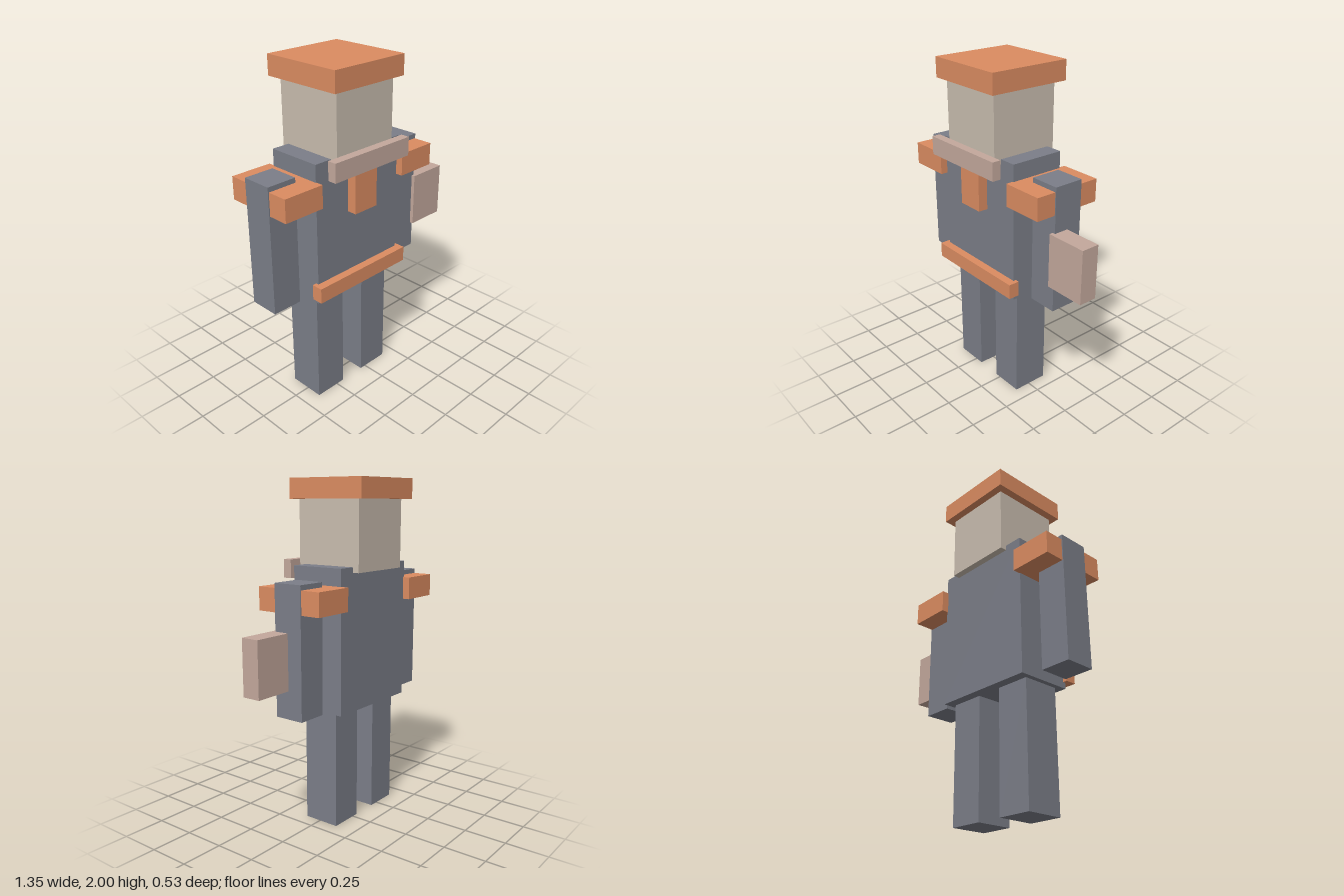
import * as THREE from 'three';

const material = (color) => new THREE.MeshStandardMaterial({ color });

export function createModel() {
  const model = new THREE.Group();
  const slate = material(0x7b7e88);
  const orange = material(0xdb8c61);
  const skin = material(0xc9bdaf);
  const rose = material(0xc3a89c);

  // Axis-aligned block given by its [min, max] along each axis
  function block(name, mat, [x0, x1], [y0, y1], [z0, z1]) {
    const mesh = new THREE.Mesh(new THREE.BoxGeometry(x1 - x0, y1 - y0, z1 - z0), mat);
    mesh.position.set((x0 + x1) / 2, (y0 + y1) / 2, (z0 + z1) / 2);
    mesh.name = name;
    model.add(mesh);
  }

  // Body
  block('torso', slate, [-0.43, 0.197], [0.695, 1.52], [-0.18, 0.152]);
  block('head', skin, [-0.322, 0.092], [1.49, 1.885], [-0.22, 0.197]);
  block('hat', orange, [-0.367, 0.133], [1.885, 2], [-0.265, 0.235]);

  // Limbs and shoulder pads, mirrored about the body's own centre line
  const centre = -0.117;
  for (const [label, s] of [['left', 1], ['right', -1]]) {
    const span = (a, b) => [centre + s * a, centre + s * b].sort((p, q) => p - q);
    block(label + 'Leg', slate, span(0.079, 0.283), [0, 0.697], [-0.122, 0.1]);
    block(label + 'Arm', slate, span(0.383, 0.562), [0.708, 1.45], [-0.105, 0.075]);
    block(label + 'ShoulderPad', orange, span(0.307, 0.556), [1.29, 1.422], [-0.223, 0.195]);
  }

  // Clothing on the chest and waist
  block('collar', rose, [-0.397, 0.16], [1.44, 1.547], [0.21, 0.262]);
  block('tie', orange, [-0.2, -0.036], [1.185, 1.45], [0.145, 0.21]);
  block('belt', orange, [-0.456, 0.222], [0.73, 0.82], [0.135, 0.201]);

  // Flat block carried on the left arm
  block('heldBlock', rose, [0.427, 0.675], [0.868, 1.187], [-0.013, 0.097]);

  return model;
}
